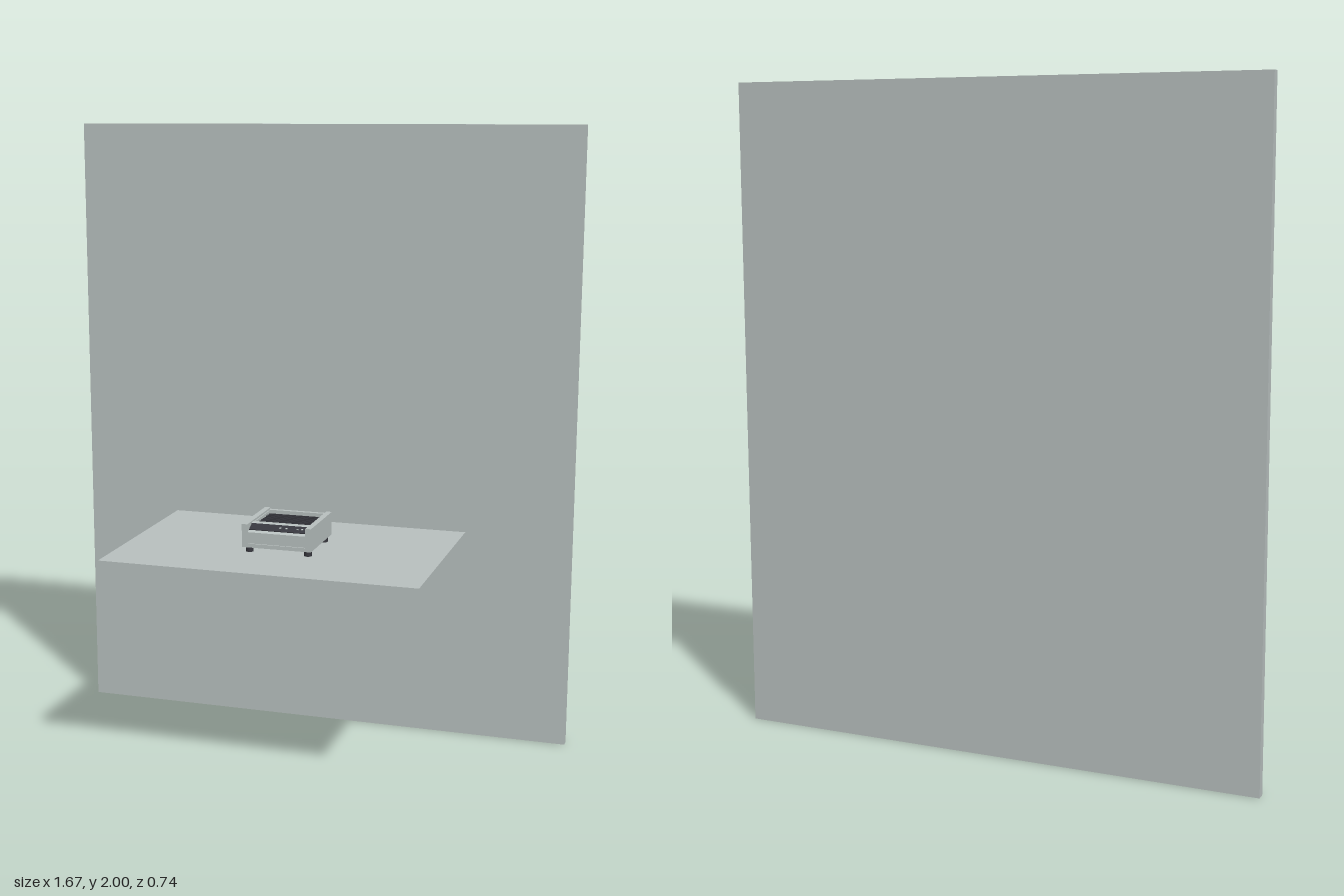
import * as THREE from 'three';

export function createModel() {
  const model = new THREE.Group();
  const grey = new THREE.MeshStandardMaterial({ name: 'pale grey', color: 0xb8c0bf });
  const dark = new THREE.MeshStandardMaterial({ name: 'dark charcoal', color: 0x36363d });

  // Box from its minimum and maximum corners
  const box = (name, material, [x0, y0, z0], [x1, y1, z1], parent = model) => {
    const mesh = new THREE.Mesh(new THREE.BoxGeometry(x1 - x0, y1 - y0, z1 - z0), material);
    mesh.position.set((x0 + x1) / 2, (y0 + y1) / 2, (z0 + z1) / 2);
    mesh.name = name;
    parent.add(mesh);
    return mesh;
  };

  // Wall panel and floating table top
  box('wall', grey, [-0.833, 0, -0.37], [0.833, 2, -0.343]);
  box('tableTop', grey, [-0.5, 0.67, -0.297], [0.496, 0.707, 0.368]);

  // Small desktop device
  const device = new THREE.Group();
  device.name = 'device';
  device.position.x = -0.002;
  model.add(device);

  const bottom = 0.725, top = 0.798, back = -0.078, front = 0.152;
  for (const s of [-1, 1]) {
    const side = box('sidePanel', grey, [-0.009, bottom, back], [0.009, top, front], device);
    side.position.x = s * 0.102;
    for (const z of [-0.05, 0.127]) {
      const foot = new THREE.Mesh(new THREE.CylinderGeometry(0.012, 0.012, bottom - 0.707, 20), dark);
      foot.name = 'foot';
      foot.position.set(s * 0.094, (bottom + 0.707) / 2, z);
      device.add(foot);
    }
  }
  box('base', grey, [-0.094, bottom, back], [0.094, 0.737, 0.1], device);
  box('backPanel', grey, [-0.094, bottom, back + 0.002], [0.094, 0.794, -0.062], device);

  // Front block with a sloping control fascia
  const profile = new THREE.Shape([
    [0.089, bottom], [0.147, bottom], [0.147, 0.772], [0.104, 0.794], [0.089, 0.794],
  ].map(([z, y]) => new THREE.Vector2(-z, y)));
  const fasciaGeometry = new THREE.ExtrudeGeometry(profile, { depth: 0.188, bevelEnabled: false });
  fasciaGeometry.translate(0, 0, -0.094).rotateY(Math.PI / 2);
  const fascia = new THREE.Mesh(fasciaGeometry, grey);
  fascia.name = 'frontFascia';
  device.add(fascia);
  box('frontLip', grey, [-0.094, bottom, 0.146], [0.094, 0.737, front], device);

  // Dark control strip with small buttons, lying on the slope
  const controls = new THREE.Group();
  controls.name = 'controlStrip';
  controls.position.set(0, 0.7842, 0.1235);
  controls.rotation.x = Math.atan2(0.022, 0.043);
  device.add(controls);
  box('stripPlate', dark, [-0.092, -0.002, -0.015], [0.092, 0.002, 0.015], controls);
  for (const x of [0.005, 0.025, 0.06, 0.075]) {
    box('button', grey, [x - 0.003, 0.002, -0.002], [x + 0.003, 0.004, 0.002], controls);
  }

  // Recessed dark tray with thin ribs on the top
  box('tray', dark, [-0.093, 0.737, -0.062], [0.093, 0.775, 0.089], device);
  for (let i = 0; i < 9; i++) {
    const z = -0.05 + i * 0.016;
    box('trayRib', dark, [-0.088, 0.775, z - 0.002], [0.088, 0.785, z + 0.002], device);
  }
  for (const s of [-1, 1]) {
    const rail = box('trayRail', grey, [-0.002, 0.737, -0.062], [0.002, 0.792, 0.089], device);
    rail.position.x = s * 0.0915;
  }

  return model;
}
